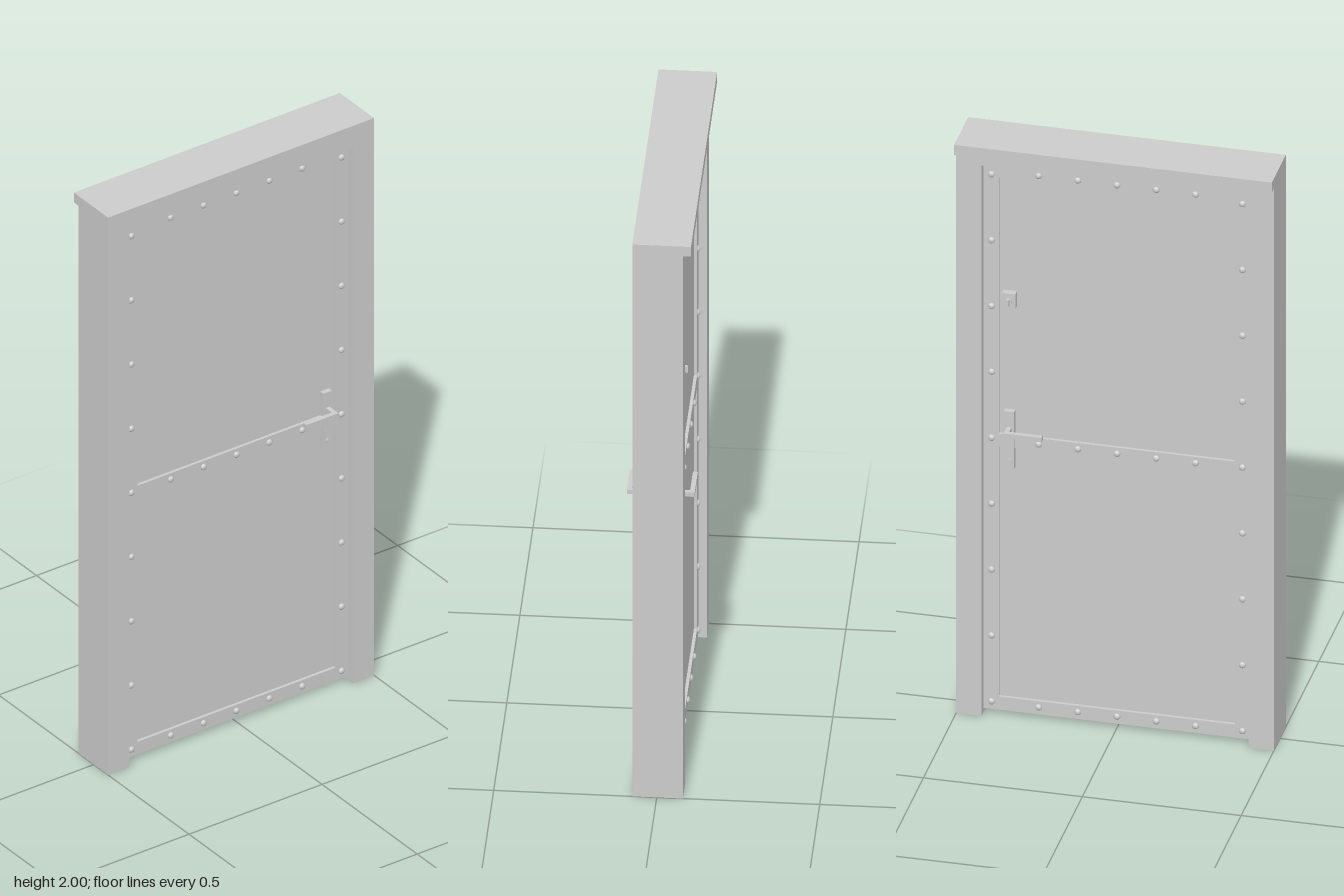
import * as THREE from 'three';

const material = new THREE.MeshStandardMaterial({ color: 0xcccccc });

function addMesh(parent, name, geometry, x = 0, y = 0, z = 0) {
  const mesh = new THREE.Mesh(geometry, material);
  mesh.name = name;
  mesh.position.set(x, y, z);
  parent.add(mesh);
  return mesh;
}

// Box given by its minimum and maximum corners
function addBox(parent, name, [x0, y0, z0], [x1, y1, z1]) {
  const geometry = new THREE.BoxGeometry(x1 - x0, y1 - y0, z1 - z0);
  return addMesh(parent, name, geometry, (x0 + x1) / 2, (y0 + y1) / 2, (z0 + z1) / 2);
}

function polygon(points, Type = THREE.Shape) {
  return new Type(points.map(([x, y]) => new THREE.Vector2(x, y)));
}

function rectangle(x0, y0, x1, y1, Type) {
  return polygon([[x0, y0], [x1, y0], [x1, y1], [x0, y1]], Type);
}

function extrude(shape, z0, z1) {
  const geometry = new THREE.ExtrudeGeometry(shape, { depth: z1 - z0, bevelEnabled: false });
  return geometry.translate(0, 0, z0);
}

// Door faces; side is +1 for the front and -1 for the back
const FACE = { 1: 0.05, [-1]: -0.054 };
const PANEL = { 1: 0.04, [-1]: -0.044 };

function buildRivets(side) {
  const rivets = new THREE.Group();
  rivets.name = side > 0 ? 'frontRivets' : 'backRivets';
  const dome = new THREE.SphereGeometry(0.011, 12, 5, 0, Math.PI * 2, 0, Math.PI / 2);
  dome.scale(1, 0.75, 1).rotateX(side * Math.PI / 2);
  const add = (x, y) => addMesh(rivets, 'rivet', dome, x, y, FACE[side]);

  for (const x of [-0.395, 0.395]) {
    for (let i = 0; i < 9; i++) add(x, 0.042 + i * 0.2303);
  }
  for (const y of [0.04, 0.959, 1.898]) {
    for (let i = -2; i <= 2; i++) add(i * 0.1235, y);
  }
  return rivets;
}

function buildHandle(side) {
  const handle = new THREE.Group();
  handle.name = side > 0 ? 'frontHandle' : 'backHandle';
  const plateFace = Math.abs(FACE[side]) + 0.007;
  const z = (a, b) => [Math.min(side * a, side * b), Math.max(side * a, side * b)];

  // Back plate
  const [p0, p1] = z(Math.abs(PANEL[side]), plateFace);
  addBox(handle, 'handlePlate', [0.322, 0.865, p0], [0.355, 1.065, p1]);

  // Bent lever: neck out of the plate, then a grip towards the door's middle
  const lever = polygon([
    [0.33, plateFace], [0.345, plateFace], [0.345, 0.104],
    [0.225, 0.104], [0.225, 0.089], [0.33, 0.089],
  ].map(([x, depth]) => [x, -side * depth]));
  addMesh(handle, 'lever', extrude(lever, 0.996, 1.011).rotateX(-Math.PI / 2));

  // Lock cylinder
  const lock = new THREE.CylinderGeometry(0.008, 0.008, 0.006, 16).rotateX(Math.PI / 2);
  addMesh(handle, 'lockCylinder', lock, 0.338, 0.893, side * (plateFace + 0.001));
  return handle;
}

export function createModel() {
  const model = new THREE.Group();
  model.name = 'door';

  // Surround with open bottom, and the drip edge at the back
  const surround = polygon([
    [-0.5, 0], [-0.42, 0], [-0.42, 1.925], [0.42, 1.925],
    [0.42, 0], [0.5, 0], [0.5, 2], [-0.5, 2],
  ]);
  addMesh(model, 'doorFrame', extrude(surround, -0.08, 0.075));
  addBox(model, 'dripEdge', [-0.5, 1.965, -0.105], [0.5, 2, -0.08]);

  // Door leaf: raised rails around two recessed panels
  const rails = rectangle(-0.42, 0.015, 0.42, 1.925);
  const openings = [[0.061, 0.936], [0.98, 1.876]];
  for (const [y0, y1] of openings) {
    rails.holes.push(rectangle(-0.372, y0, 0.372, y1, THREE.Path));
  }
  addMesh(model, 'doorRails', extrude(rails, FACE[-1], FACE[1]));
  for (const [y0, y1] of openings) {
    addBox(model, 'doorPanel', [-0.372, y0, PANEL[-1]], [0.372, y1, PANEL[1]]);
  }

  for (const side of [1, -1]) model.add(buildRivets(side), buildHandle(side));

  // Inside latch with its turn knob
  const latch = new THREE.Group();
  latch.name = 'latch';
  addBox(latch, 'latchBox', [0.317, 1.428, -0.066], [0.36, 1.48, -0.044]);
  const knob = new THREE.CylinderGeometry(0.011, 0.011, 0.008, 16).rotateX(Math.PI / 2);
  addMesh(latch, 'latchKnob', knob, 0.338, 1.454, -0.069);
  addBox(latch, 'latchGrip', [0.334, 1.443, -0.083], [0.342, 1.465, -0.07]);
  model.add(latch);

  return model;
}
